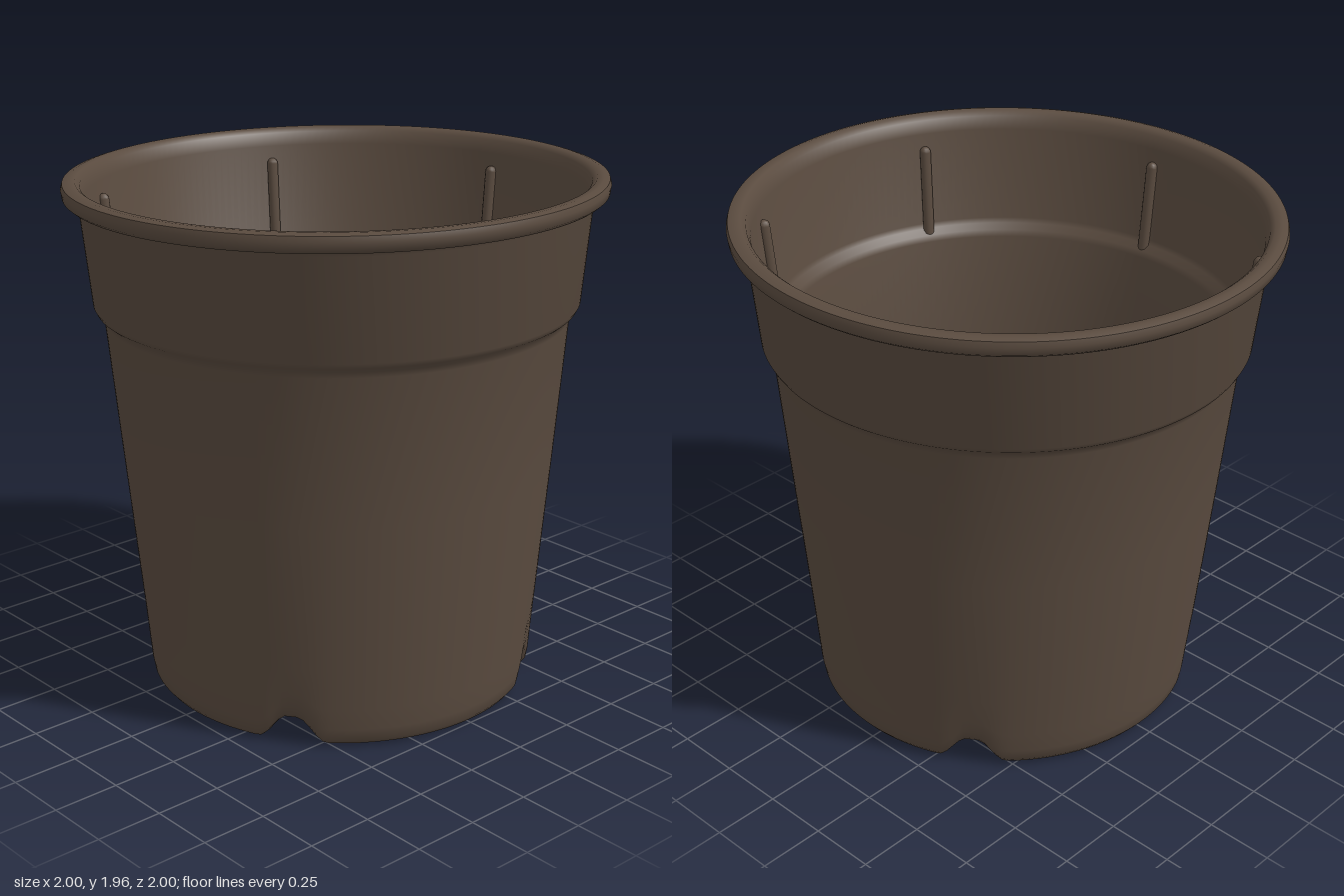
import * as THREE from 'three';
import { toCreasedNormals } from 'three/addons/utils/BufferGeometryUtils.js';

const SEG = 192, RINGS = 46, FLOOR_R = 0.66;
const RAD = Math.PI / 180;
const CHANNELS = [-34, 56, 146, 236].map(a => a * RAD);
const SLOTS = [-81, 9, 99, 189].map(a => a * RAD);
const { smoothstep, clamp } = THREE.MathUtils;
const wrap = a => Math.atan2(Math.sin(a), Math.cos(a));

// Signed distance to the nearest drainage hole (negative inside)
function holeDistance(u, v) {
  let d = Infinity;
  for (const a of CHANNELS) {
    d = Math.min(d, Math.hypot(u - 0.217 * Math.cos(a), v - 0.217 * Math.sin(a)) - 0.037);
  }
  for (const a of SLOTS) {
    const b = a + clamp(wrap(Math.atan2(v, u) - a), -0.2, 0.2);
    d = Math.min(d, Math.hypot(u - 0.585 * Math.cos(b), v - 0.585 * Math.sin(b)) - 0.036);
  }
  return d;
}

// Raised centre and four radial drainage channels in the base
function lift(u, v) {
  const r = Math.hypot(u, v), t = Math.atan2(v, u);
  let h = 0.04 * (1 - smoothstep(r, 0.3, 0.42));
  for (const a of CHANNELS) {
    const d = wrap(t - a);
    if (Math.abs(d) > Math.PI / 2) continue;
    const side = 1 - smoothstep(Math.abs(r * Math.sin(d)), 0.02, 0.13);
    h = Math.max(h, side * (0.04 + 0.055 * smoothstep(r, 0.25, 0.65)));
  }
  return h;
}

// Slight lean of the whole pot
function lean(p) {
  const k = p.y / 1.96;
  p.x += 0.025 * (1 - k);
  p.y += 0.015 * p.x * k;
  return p;
}

function potGeometry() {
  // Closed section: floor underside, outer wall, rim, inner wall, floor top
  const under = [], top = [];
  for (let i = 0; i <= RINGS; i++) {
    const r = FLOOR_R * i / RINGS;
    under.push([r, 0.018]);
    top.unshift([r, 0.055]);
  }
  const profile = [
    ...under,
    [0.69, 0.018], [0.715, 0.026], [0.73, 0.045], [0.738, 0.09], [0.745, 0.17], [0.758, 0.32],
    [0.81, 0.88], [0.862, 1.45], [0.868, 1.472], [0.892, 1.492], [0.901, 1.51], [0.938, 1.88],
    [0.945, 1.895], [0.98, 1.9], [0.994, 1.912], [0.998, 1.94], [0.992, 1.96], [0.97, 1.967],
    [0.945, 1.965], [0.928, 1.95], [0.914, 1.9],
    [0.878, 1.535], [0.87, 1.515], [0.845, 1.495], [0.837, 1.47],
    [0.785, 0.88], [0.735, 0.34], [0.718, 0.19], [0.705, 0.1], [0.69, 0.066],
    ...top,
  ];
  const n = profile.length, pos = [], flat = [];
  for (let j = 0; j < SEG; j++) {
    const a = j / SEG * Math.PI * 2;
    profile.forEach(([r, y], i) => {
      let u = r * Math.cos(a), v = r * Math.sin(a);
      if (i <= RINGS || i >= n - 1 - RINGS) {
        // Pull nearby vertices onto the hole outlines
        const d = holeDistance(u, v), e = 1e-4;
        if (Math.abs(d) < 0.0085) {
          const gu = (holeDistance(u + e, v) - d) / e, gv = (holeDistance(u, v + e) - d) / e;
          u -= d * gu;
          v -= d * gv;
        }
      }
      flat.push([u, v]);
      const fade = clamp(1 - (y - 0.055) / 0.3, 0, 1);
      const p = lean(new THREE.Vector3(u, y + lift(u, v) * fade, v));
      pos.push(p.x, p.y, p.z);
    });
  }
  const id = (i, j) => ((j + SEG) % SEG) * n + i;
  const corners = (i, j) => [id(i, j), id(i + 1, j), id(i + 1, j + 1), id(i, j + 1)];
  const open = (i, j) => {
    const k = Math.min(i, n - 2 - i);
    if (k < 0 || k >= RINGS) return false;
    const c = corners(k, j).map(q => flat[q]);
    return holeDistance(c.reduce((s, q) => s + q[0], 0) / 4, c.reduce((s, q) => s + q[1], 0) / 4) < 0;
  };
  const mate = q => q - (q % n) + n - 1 - (q % n);
  const index = [];
  for (let j = 0; j < SEG; j++) {
    for (let i = 0; i < n - 1; i++) {
      if (open(i, j)) continue;
      const [a, b, c, d] = corners(i, j);
      if (i > 0) index.push(a, b, d);
      if (i < n - 2) index.push(b, c, d);
      if (i >= RINGS) continue;
      // Hole sides joining the underside to the floor top
      const edges = [[a, b, i, j - 1], [b, c, i + 1, j], [c, d, i, j + 1], [d, a, i - 1, j]];
      for (const [p, q, ni, nj] of edges) {
        if (open(ni, nj)) index.push(q, p, mate(p), q, mate(p), mate(q));
      }
    }
  }
  const geo = new THREE.BufferGeometry();
  geo.setAttribute('position', new THREE.Float32BufferAttribute(pos, 3));
  geo.setIndex(index);
  return toCreasedNormals(geo, 0.9);
}

export function createModel() {
  const group = new THREE.Group();
  group.name = 'plantPot';
  const brown = new THREE.MeshStandardMaterial({ color: 0x5a4b3f });
  brown.name = 'darkBrownPlastic';

  const pot = new THREE.Mesh(potGeometry(), brown);
  pot.name = 'potBody';
  group.add(pot);

  // Six upright stacking ribs inside the collar
  for (let k = 0; k < 6; k++) {
    const a = (-95 + 60 * k) * RAD;
    const at = (r, y) => lean(new THREE.Vector3(r * Math.cos(a), y, r * Math.sin(a)));
    const low = at(0.868, 1.5), high = at(0.9, 1.83);
    const rib = new THREE.Mesh(new THREE.CapsuleGeometry(0.022, low.distanceTo(high), 4, 10), brown);
    rib.position.copy(low).lerp(high, 0.5);
    rib.quaternion.setFromUnitVectors(new THREE.Vector3(0, 1, 0), high.clone().sub(low).normalize());
    rib.name = 'stackingRib' + (k + 1);
    group.add(rib);
  }
  return group;
}
